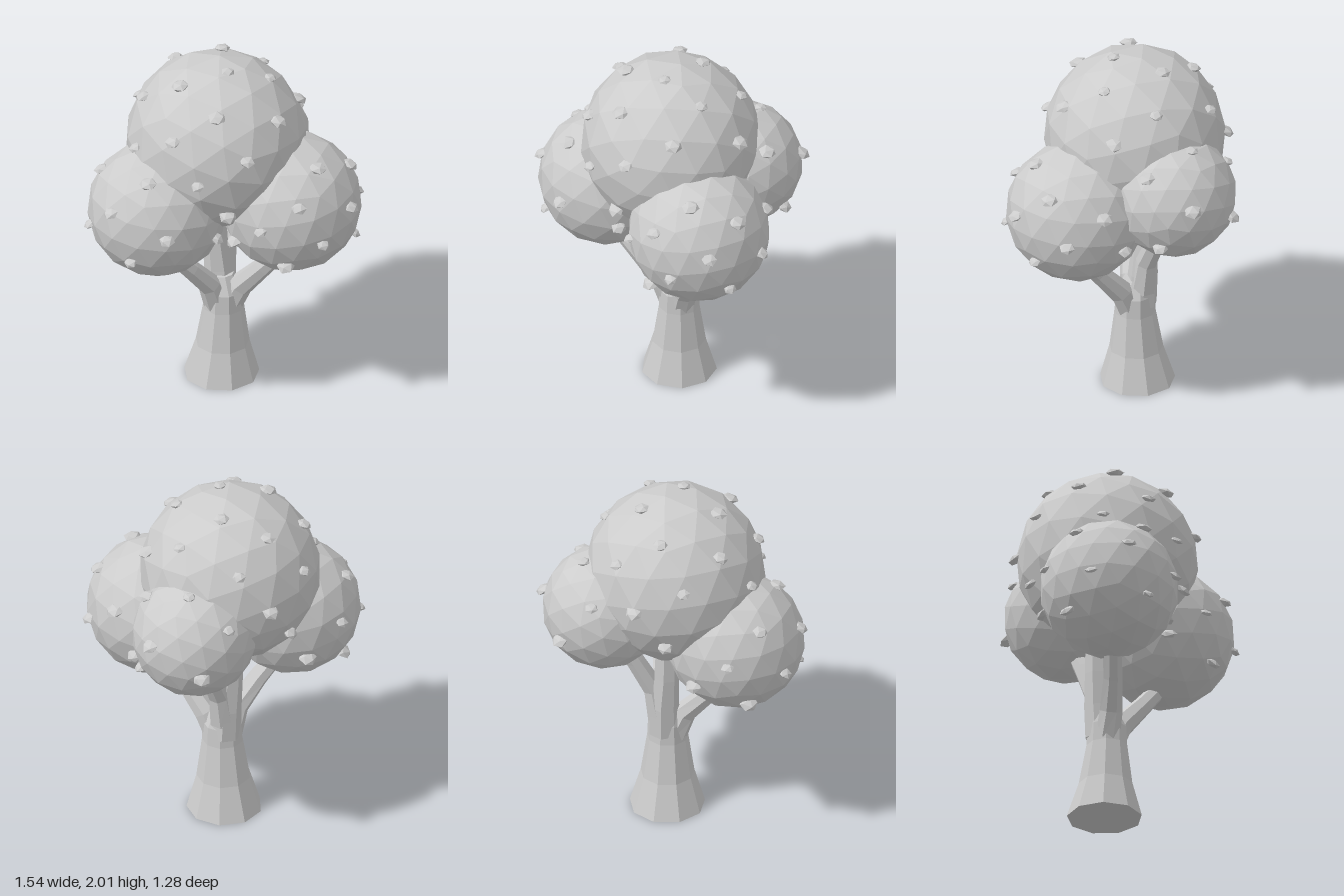
import * as THREE from 'three';

const material = new THREE.MeshStandardMaterial({ color: 0xcccccc, flatShading: true });
const UP = new THREE.Vector3(0, 1, 0);
const GOLDEN_ANGLE = Math.PI * (3 - Math.sqrt(5));

function addMesh(parent, geometry, name) {
  const mesh = new THREE.Mesh(geometry, material);
  mesh.name = name;
  parent.add(mesh);
  return mesh;
}

// Tapered, closed limb through rings given as [x, y, z, radius]
function limbGeometry(rings, sides, levelRings = false) {
  const centres = rings.map(([x, y, z]) => new THREE.Vector3(x, y, z));
  const positions = [], index = [];
  rings.forEach((ring, i) => {
    const before = centres[Math.max(i - 1, 0)];
    const after = centres[Math.min(i + 1, rings.length - 1)];
    const direction = levelRings ? UP : after.clone().sub(before).normalize();
    const turn = new THREE.Quaternion().setFromUnitVectors(UP, direction);
    for (let s = 0; s < sides; s++) {
      const a = (s + 0.3) / sides * Math.PI * 2;
      const p = new THREE.Vector3(Math.sin(a), 0, Math.cos(a)).multiplyScalar(ring[3]);
      p.applyQuaternion(turn).add(centres[i]);
      positions.push(p.x, p.y, p.z);
    }
  });
  const last = (rings.length - 1) * sides;
  for (let i = 0; i < last; i += sides) {
    for (let s = 0; s < sides; s++) {
      const a = i + s, b = i + (s + 1) % sides;
      index.push(a, b, b + sides, a, b + sides, a + sides);
    }
  }
  for (let s = 1; s < sides - 1; s++) {
    index.push(0, s + 1, s, last, last + s, last + s + 1);
  }
  const geometry = new THREE.BufferGeometry();
  geometry.setAttribute('position', new THREE.Float32BufferAttribute(positions, 3));
  geometry.setIndex(index);
  geometry.computeVertexNormals();
  return geometry;
}

// Foliage balls: "spread" is the number of clump places on the whole ball
const crown = (name, x, y, z, radius, spin, spread) =>
  ({ name, centre: new THREE.Vector3(x, y, z), radius, spin, spread });

const crowns = [
  crown('topCrown', -0.03, 1.51, 0.03, 0.495, 0.5, 36),
  crown('rightCrown', -0.365, 1.18, 0.19, 0.38, 1.2, 22),
  crown('leftCrown', 0.365, 1.19, 0.19, 0.388, 2.1, 26),
  crown('backCrown', 0.165, 1.31, -0.3, 0.343, 2.9, 14),
];

const trunk = [[0, 0, 0, 0.207], [0.005, 0.2, 0.005, 0.148], [0.01, 0.43, 0.01, 0.113], [0.01, 0.54, 0.01, 0.108], [0, 0.64, 0, 0.07]];

const branches = {
  leftBranch: [[0.04, 0.44, 0.02, 0.07], [0.1, 0.58, 0.05, 0.068], [0.22, 0.74, 0.13, 0.054], [0.36, 0.92, 0.2, 0.045]],
  rightBranch: [[-0.03, 0.46, 0.03, 0.07], [-0.07, 0.6, 0.07, 0.064], [-0.18, 0.74, 0.13, 0.054], [-0.34, 0.92, 0.2, 0.045]],
  middleBranch: [[0, 0.48, -0.02, 0.09], [-0.01, 0.66, -0.03, 0.083], [-0.03, 0.85, -0.03, 0.07], [-0.04, 1.15, -0.03, 0.06]],
  backBranch: [[0.01, 0.58, -0.04, 0.075], [0.03, 0.76, -0.07, 0.06], [0.08, 0.95, -0.16, 0.052], [0.13, 1.12, -0.25, 0.045]],
};

// Directions spiralling down a ball, leaving its underside bare
function clumpDirections({ spin, spread }) {
  const directions = [];
  for (let i = 0; i < spread; i++) {
    const y = 1 - 2 * (i + 0.5) / spread;
    if (y < -0.6) break;
    const a = spin + i * GOLDEN_ANGLE, r = Math.sqrt(1 - y * y);
    directions.push(new THREE.Vector3(r * Math.sin(a), y, r * Math.cos(a)));
  }
  return directions;
}

export function createModel() {
  const tree = new THREE.Group();
  tree.name = 'tree';

  // Flared trunk and its four branches
  addMesh(tree, limbGeometry(trunk, 9, true), 'trunk');
  for (const [name, rings] of Object.entries(branches)) {
    addMesh(tree, limbGeometry(rings, 7), name);
  }

  // Small flattened leaf clump
  const clumpGeometry = new THREE.IcosahedronGeometry(0.042, 0);
  clumpGeometry.rotateX(0.55);
  clumpGeometry.scale(1, 0.45, 1);

  for (const ball of crowns) {
    const group = new THREE.Group();
    group.name = ball.name;
    group.position.copy(ball.centre);
    tree.add(group);

    // Faceted foliage
    const foliage = addMesh(group, new THREE.IcosahedronGeometry(ball.radius, 2), 'foliage');
    foliage.rotation.set(0.3, ball.spin, 0.2);

    // Clumps tipped outwards, left out where another crown covers them
    clumpDirections(ball).forEach((direction, i) => {
      const position = direction.clone().multiplyScalar(ball.radius);
      const world = position.clone().add(ball.centre);
      if (crowns.some((other) => other !== ball && world.distanceTo(other.centre) < other.radius + 0.02)) return;
      const clump = addMesh(group, clumpGeometry, 'leafClump');
      clump.position.copy(position);
      clump.quaternion.setFromUnitVectors(UP, direction.multiplyScalar(0.6).add(UP).normalize());
      clump.rotateY(i * 1.7);
      clump.scale.setScalar(0.9 + 0.15 * (i % 3));
    });
  }
  return tree;
}
